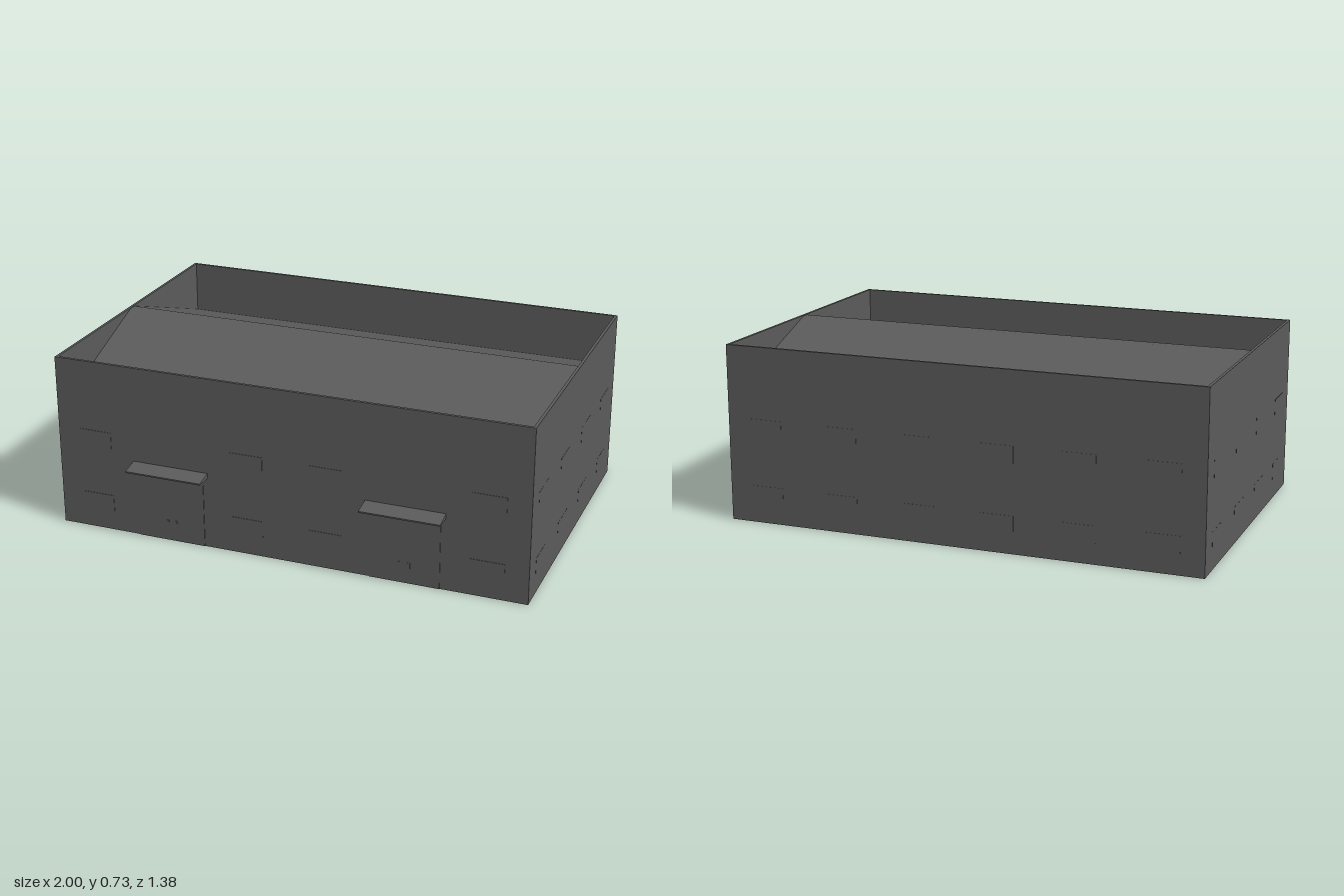
import * as THREE from 'three';

const W = 2, H = 0.733, FRONT = 0.615, BACK = -0.688, WALL = 0.012;
const MID = (FRONT + BACK) / 2, DEPTH = FRONT - BACK, PROUD = 0.002;
const material = new THREE.MeshStandardMaterial({ color: 0x5b5b5b });

function add(group, name, geometry, x = 0, y = 0, z = 0) {
  const mesh = new THREE.Mesh(geometry, material);
  mesh.name = name;
  mesh.position.set(x, y, z);
  group.add(mesh);
}

// Extrudes a (z, y) outline along x, centred on x = 0
function prism(points, width) {
  const shape = new THREE.Shape(points.map(([z, y]) => new THREE.Vector2(-z, y)));
  const geometry = new THREE.ExtrudeGeometry(shape, { depth: width, bevelEnabled: false });
  return geometry.translate(0, 0, -width / 2).rotateY(Math.PI / 2);
}

function rectangle(Type, w, d) {
  return new Type([[-1, -1], [1, -1], [1, 1], [-1, 1]].map(([x, y]) => new THREE.Vector2(x * w / 2, y * d / 2)));
}

export function createModel() {
  const model = new THREE.Group();
  model.name = 'building';

  // Outer walls rise past the roof as a parapet
  const ring = rectangle(THREE.Shape, W, DEPTH);
  ring.holes.push(rectangle(THREE.Path, W - 2 * WALL, DEPTH - 2 * WALL));
  const walls = new THREE.ExtrudeGeometry(ring, { depth: H, bevelEnabled: false }).rotateX(-Math.PI / 2);
  add(model, 'walls', walls, 0, 0, MID);

  // Gabled roof with a narrow flat ridge, filled down to the floor
  const zf = FRONT - WALL, zb = BACK + WALL, eave = 0.51, ridge = H - 0.003;
  add(model, 'roof', prism([
    [zf, 0], [zf, eave], [MID + 0.018, ridge], [MID - 0.018, ridge], [zb, eave], [zb, 0],
  ], W - 2 * WALL));

  // Two storeys of small windows, barely proud of the walls
  const winW = 0.14, winH = 0.07;
  const pane = new THREE.BoxGeometry(winW, winH, 2 * PROUD);
  const sidePane = new THREE.BoxGeometry(PROUD, winH, winW);
  for (const y of [0.12, 0.4]) {
    for (let i = 0; i < 6; i++) {
      const x = (i - 2.5) / 3;
      add(model, 'backWindow', pane, x, y, BACK + PROUD / 2);
      // The columns above the doors have no windows
      if (i !== 1 && i !== 4) add(model, 'frontWindow', pane, x, y, FRONT);
    }
    for (let i = 0; i < 4; i++) {
      const z = MID + (i - 1.5) * DEPTH / 4;
      for (const side of [-1, 1]) {
        add(model, 'sideWindow', sidePane, side * (W / 2 - PROUD / 4), y, z);
      }
    }
  }

  // Double doors with handles under sloping canopies
  for (const x of [-0.5, 0.5]) {
    add(model, 'door', new THREE.BoxGeometry(0.29, 0.29, 0.006), x, 0.145, FRONT);
    for (const side of [-1, 1]) {
      add(model, 'doorHandle', new THREE.BoxGeometry(0.012, 0.025, 0.006), x + side * 0.018, 0.078, FRONT + 0.002);
    }
    add(model, 'canopy', prism([
      [FRONT - 0.005, 0.306], [0.688, 0.306], [0.688, 0.312], [FRONT - 0.005, 0.328],
    ], 0.33), x);
  }
  return model;
}
